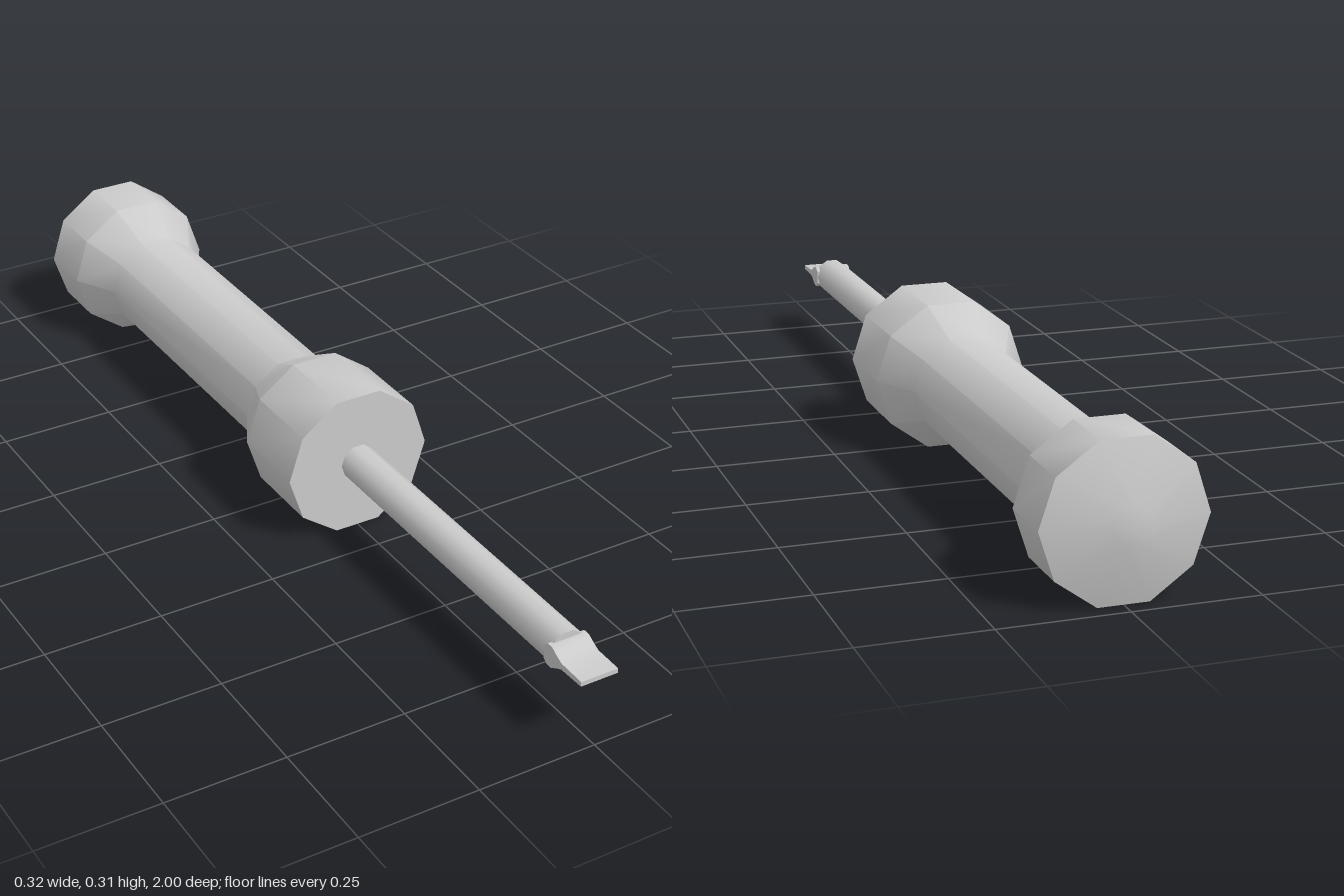
import * as THREE from 'three';
import { toCreasedNormals } from 'three/addons/utils/BufferGeometryUtils.js';

const AXIS_Y = 0.154;
const SIDES = 10;
const material = new THREE.MeshStandardMaterial({ color: 0xcccccc });

function addPart(group, name, geometry, crease) {
  const mesh = new THREE.Mesh(toCreasedNormals(geometry, crease), material);
  mesh.name = name;
  mesh.position.y = AXIS_Y;
  group.add(mesh);
}

// Ten-sided solid along z from [radius, z] pairs, back to front
function turned(profile) {
  const points = profile.map(([r, z]) => new THREE.Vector2(r, z));
  return new THREE.LatheGeometry(points, SIDES, Math.PI / 2).rotateX(Math.PI / 2);
}

export function createModel() {
  const group = new THREE.Group();
  group.name = 'screwdriver';

  // Handle: domed butt, flared grip ends and a flat front face
  addPart(group, 'handle', turned([
    [0, -1], [0.04, -1], [0.161, -0.965], [0.161, -0.838], [0.109, -0.745],
    [0.109, -0.108], [0.161, -0.013], [0.161, 0.165], [0, 0.165],
  ]), 0.7);

  // Shaft
  addPart(group, 'shaft', turned([
    [0, 0.15], [0.039, 0.15], [0.039, 0.9], [0, 0.9],
  ]), 0.7);

  // Flat blade: side outline swept across the width
  const upper = [[0.885, 0.015], [0.895, 0.023], [0.909, 0.023], [0.926, 0.013], [0.94, 0.0065], [1, 0.005]];
  const lower = upper.map(([z, y]) => [z, -y]);
  const outline = [...lower, ...upper.reverse()].map(([z, y]) => new THREE.Vector2(z, y));
  const width = 0.081;
  const blade = new THREE.ExtrudeGeometry(new THREE.Shape(outline), { depth: width, bevelEnabled: false });
  blade.rotateY(-Math.PI / 2).translate(width / 2, 0, 0);
  addPart(group, 'bladeTip', blade, 0.6);

  return group;
}
